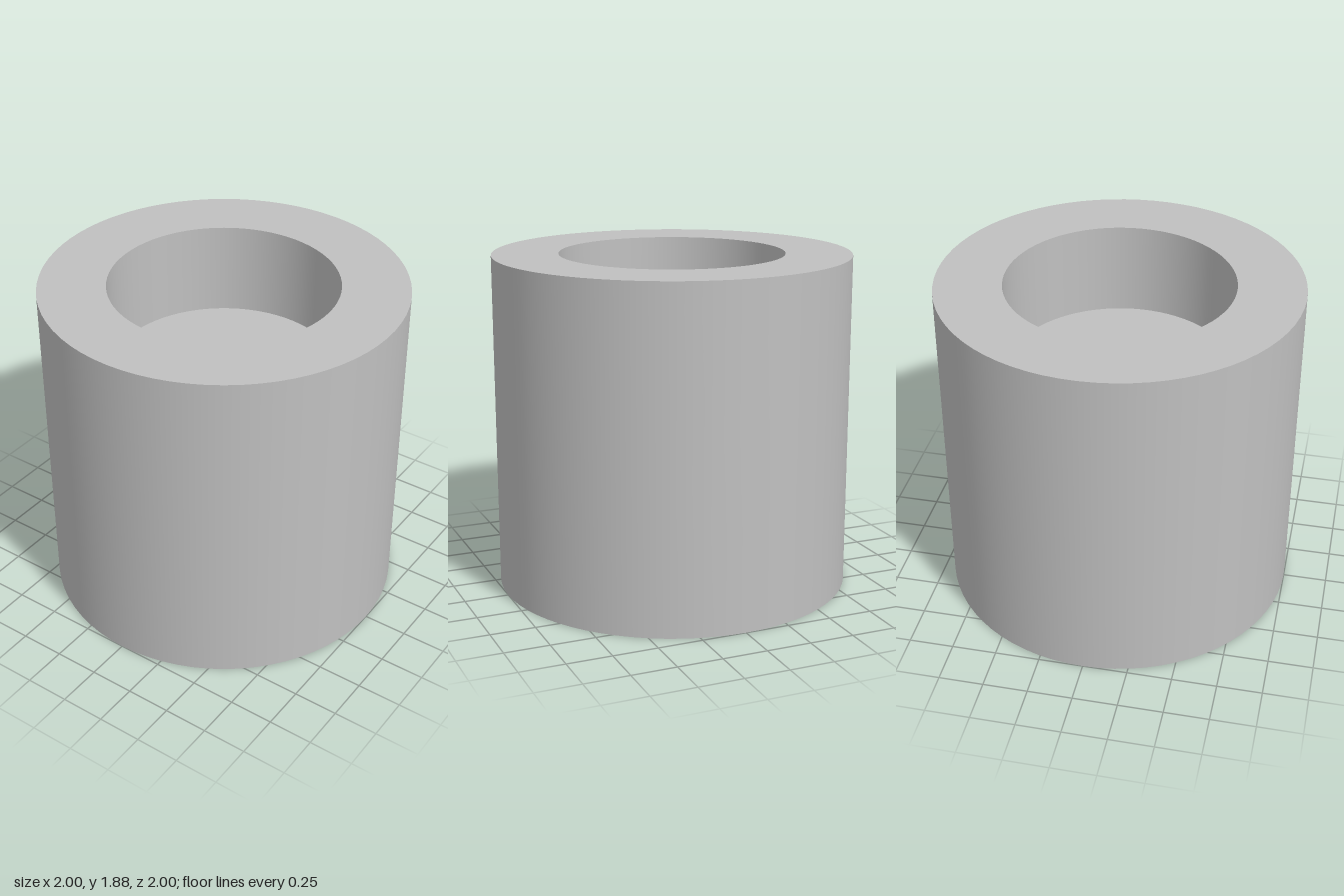
import * as THREE from 'three';

const R = 1, H = 1.88;                 // body
const BORE_R = 0.63, BORE_DEPTH = 0.53; // round bore from the top
const SQ = 0.412, SQ_DEPTH = 0.95;      // square drive pocket from below
const SEGMENTS = 72;

export function createModel() {
  const group = new THREE.Group();
  const steel = new THREE.MeshStandardMaterial({ color: 0xc0c0c0 });
  steel.name = 'grey steel';

  const add = (name, geometry, parent = group) => {
    const mesh = new THREE.Mesh(geometry, steel);
    mesh.name = name;
    parent.add(mesh);
    return mesh;
  };

  // Turned surfaces, one lathe per profile segment so the rims stay sharp
  const floorY = H - BORE_DEPTH;
  const profile = [[R, 0], [R, H], [BORE_R, H], [BORE_R, floorY], [0, floorY]]
    .map(([x, y]) => new THREE.Vector2(x, y));
  ['outerWall', 'topRim', 'boreWall', 'boreFloor'].forEach((name, i) =>
    add(name, new THREE.LatheGeometry([profile[i], profile[i + 1]], SEGMENTS)));

  // Underside disc with the square opening
  const disc = new THREE.Shape().absarc(0, 0, R, 0, Math.PI * 2);
  disc.holes.push(new THREE.Path([[-SQ, -SQ], [-SQ, SQ], [SQ, SQ], [SQ, -SQ]]
    .map(([x, y]) => new THREE.Vector2(x, y))));
  add('underside', new THREE.ShapeGeometry(disc, SEGMENTS / 2).rotateX(Math.PI / 2));

  // Square pocket: four inward walls and a ceiling
  const pocket = new THREE.Group();
  pocket.name = 'squarePocket';
  group.add(pocket);
  for (let i = 0; i < 4; i++) {
    add('pocketWall', new THREE.PlaneGeometry(SQ * 2, SQ_DEPTH)
      .translate(0, SQ_DEPTH / 2, -SQ).rotateY(i * Math.PI / 2), pocket);
  }
  add('pocketCeiling', new THREE.PlaneGeometry(SQ * 2, SQ * 2)
    .rotateX(Math.PI / 2).translate(0, SQ_DEPTH, 0), pocket);

  return group;
}
